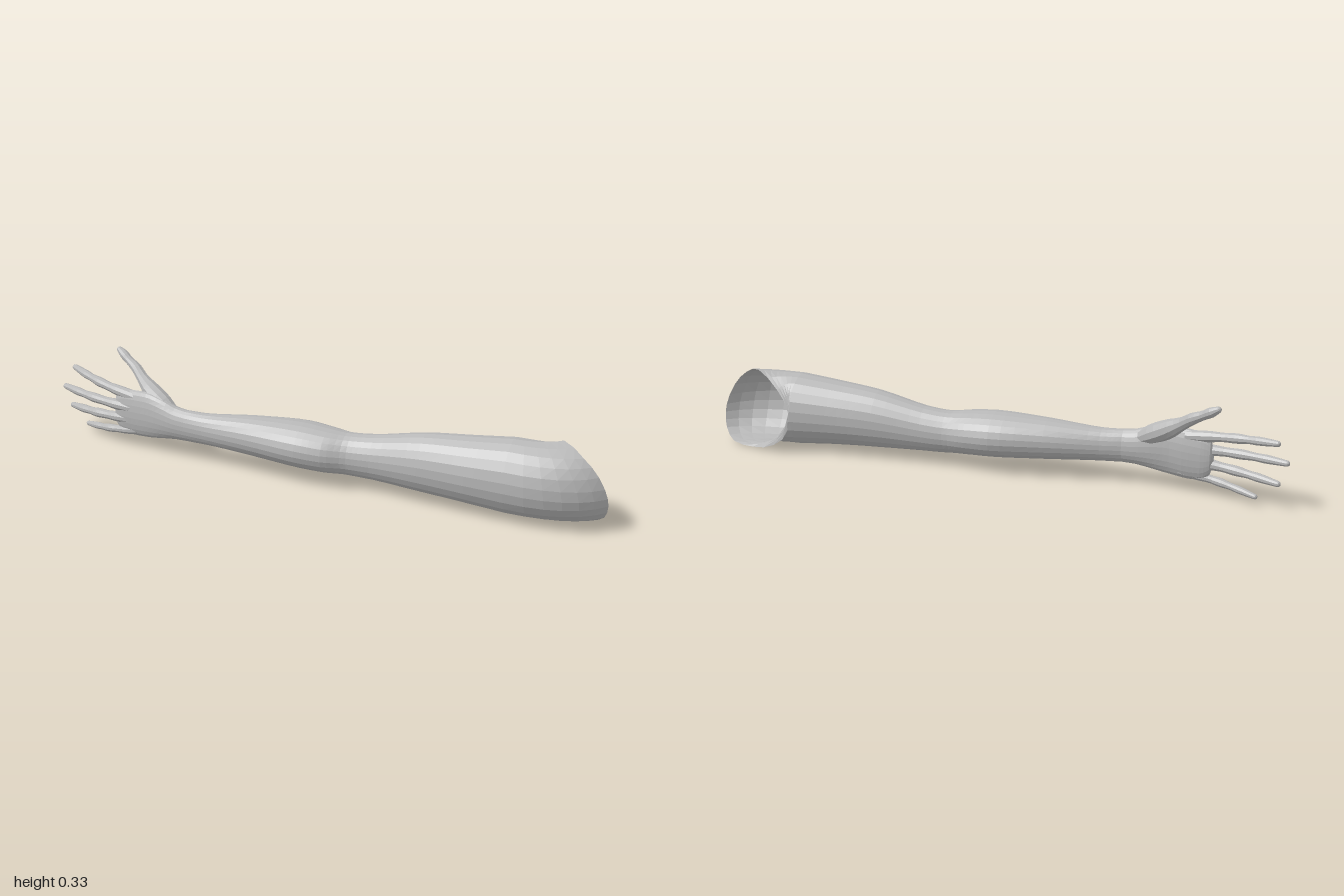
import * as THREE from 'three';

const SIDES = 22;

// Skin a list of rings (each an array of Vector3) with an open-ended surface.
function loft(rings, material, name) {
  const n = rings[0].length;
  const pos = rings.flat().flatMap(p => [p.x, p.y, p.z]);
  const index = [];
  for (let i = 0; i < rings.length - 1; i++) {
    for (let j = 0; j < n; j++) {
      const k = (j + 1) % n;
      const a = i * n + j, b = i * n + k, c = a + n, d = b + n;
      index.push(a, b, c, b, d, c);
    }
  }
  const geo = new THREE.BufferGeometry();
  geo.setAttribute('position', new THREE.Float32BufferAttribute(pos, 3));
  geo.setIndex(index);
  geo.computeVertexNormals();
  const mesh = new THREE.Mesh(geo, material);
  mesh.name = name;
  return mesh;
}

// Oval ring across the x axis, starting at the top and going round the front.
function ovalRing(x, cy, cz, h, w) {
  return Array.from({ length: SIDES }, (_, j) => {
    const a = (j / SIDES) * Math.PI * 2;
    return new THREE.Vector3(x, cy + h * Math.cos(a), cz + w * Math.sin(a));
  });
}

// Smooth rings through sections given as [x, bottom, top, back, front].
function sectionRings(sections, count) {
  const centre = new THREE.CatmullRomCurve3(sections.map(([x, b, t, k, f]) =>
    new THREE.Vector3(x, (b + t) / 2, (k + f) / 2)));
  const size = new THREE.CatmullRomCurve3(sections.map(([, b, t, k, f]) =>
    new THREE.Vector3((t - b) / 2, (f - k) / 2, 0)));
  return Array.from({ length: count + 1 }, (_, i) => {
    const c = centre.getPoint(i / count), s = size.getPoint(i / count);
    return ovalRing(c.x, c.y, c.z, s.x, s.y);
  });
}

// Tapered digit along a path of [x, y, z, radius], closed at the tip.
function digit(path, material, name) {
  const curve = new THREE.CatmullRomCurve3(path.map(p => new THREE.Vector3(p[0], p[1], p[2])));
  const radius = new THREE.CatmullRomCurve3(path.map((p, i) => new THREE.Vector3(i, p[3], 0)));
  const rings = [], steps = 16, n = 10;
  const addRing = (c, d, r) => {
    const up = new THREE.Vector3(0, 1, 0);
    up.addScaledVector(d, -up.dot(d)).normalize();
    const side = d.clone().cross(up);
    rings.push(Array.from({ length: n }, (_, j) => {
      const a = (j / n) * Math.PI * 2;
      return c.clone().addScaledVector(up, r * Math.cos(a)).addScaledVector(side, r * Math.sin(a));
    }));
  };
  for (let i = 0; i <= steps; i++) {
    addRing(curve.getPoint(i / steps), curve.getTangent(i / steps), radius.getPoint(i / steps).y);
  }
  // Rounded fingertip
  const end = curve.getPoint(1), dir = curve.getTangent(1), r = path[path.length - 1][3];
  for (const a of [0.5, 1, 1.5]) {
    addRing(end.clone().addScaledVector(dir, r * Math.sin(a)), dir, r * Math.cos(a));
  }
  return loft(rings, material, name);
}

export function createModel() {
  const model = new THREE.Group();
  model.name = 'arm';
  const skin = new THREE.MeshStandardMaterial({ color: 0xb8b8b8, flatShading: true, side: THREE.DoubleSide });
  skin.name = 'plain grey';

  // Forearm, elbow and upper arm
  const armRings = sectionRings([
    [-0.45, 0.068, 0.180, 0.000, 0.070],
    [-0.38, 0.066, 0.178, -0.012, 0.072],
    [-0.20, 0.056, 0.193, -0.055, 0.090],
    [-0.02, 0.045, 0.200, -0.084, 0.106],
    [0.07, 0.042, 0.193, -0.076, 0.096],
    [0.15, 0.040, 0.186, -0.063, 0.068],
    [0.23, 0.038, 0.194, -0.066, 0.066],
    [0.40, 0.030, 0.230, -0.080, 0.086],
    [0.56, 0.022, 0.248, -0.095, 0.101],
    [0.69, 0.012, 0.262, -0.110, 0.108],
  ], 36);

  // Slanted shoulder opening: top, front, bottom, back
  const rim = new THREE.CatmullRomCurve3([
    [0.84, 0.270, -0.035], [0.91, 0.245, 0.010], [0.96, 0.200, 0.017], [0.995, 0.130, 0.008],
    [1.00, 0.080, -0.005], [0.985, 0.035, -0.025], [0.94, 0.005, -0.060], [0.86, 0.000, -0.080],
    [0.77, 0.020, -0.105], [0.705, 0.070, -0.113], [0.70, 0.150, -0.095], [0.76, 0.220, -0.065],
  ].map(p => new THREE.Vector3(...p)), true);
  const last = armRings[armRings.length - 1];
  const swell = last.map((e, j) => {
    const l = rim.getPoint(j / SIDES);
    const c = new THREE.Vector3(e.x + (l.x - e.x) * 0.7, e.y, e.z * (e.z > 0 ? 1.15 : 1));
    return new THREE.QuadraticBezierCurve3(e, c, l);
  });
  for (let i = 1; i <= 6; i++) armRings.push(swell.map(s => s.getPoint(i / 6)));
  model.add(loft(armRings, skin, 'foreAndUpperArm'));

  // Palm, from the rounded knuckle end to the wrist
  const hand = new THREE.Group();
  hand.name = 'hand';
  model.add(hand);
  hand.add(loft(sectionRings([
    [-0.752, 0.120, 0.130, 0.004, 0.010],
    [-0.742, 0.070, 0.185, -0.008, 0.024],
    [-0.715, 0.047, 0.207, -0.012, 0.034],
    [-0.66, 0.044, 0.214, -0.010, 0.044],
    [-0.60, 0.050, 0.218, -0.004, 0.056],
    [-0.54, 0.060, 0.204, -0.004, 0.066],
    [-0.49, 0.067, 0.186, -0.002, 0.070],
    [-0.45, 0.068, 0.180, 0.000, 0.070],
  ], 20), skin, 'palm'));

  // Fingers as [name, base point, tip point], arched slightly towards the front
  const fingers = [
    ['indexFinger', [-0.66, 0.188, 0.016], [-0.958, 0.225, -0.068]],
    ['middleFinger', [-0.66, 0.147, 0.022], [-0.987, 0.156, -0.044]],
    ['ringFinger', [-0.66, 0.107, 0.020], [-0.963, 0.086, -0.046]],
    ['littleFinger', [-0.64, 0.068, 0.018], [-0.894, 0.030, -0.034]],
  ];
  const joints = [[0, 0.020], [0.25, 0.019], [0.4, 0.0155], [0.55, 0.017], [0.68, 0.0135], [0.8, 0.0145], [1, 0.010]];
  for (const [name, base, tip] of fingers) {
    const thin = name === 'littleFinger' ? 0.85 : 1;
    hand.add(digit(joints.map(([t, r]) => {
      const p = base.map((v, k) => v + (tip[k] - v) * t);
      return [p[0], p[1], p[2] + 0.016 * Math.sin(Math.PI * t), r * thin];
    }), skin, name));
  }

  // Thumb with its fleshy base
  hand.add(digit([
    [-0.50, 0.155, 0.030, 0.022], [-0.555, 0.184, 0.014, 0.033], [-0.61, 0.214, -0.006, 0.031],
    [-0.655, 0.243, -0.028, 0.021], [-0.69, 0.269, -0.047, 0.019], [-0.725, 0.288, -0.060, 0.015],
    [-0.75, 0.303, -0.070, 0.0165], [-0.772, 0.316, -0.077, 0.011],
  ], skin, 'thumb'));

  return model;
}
